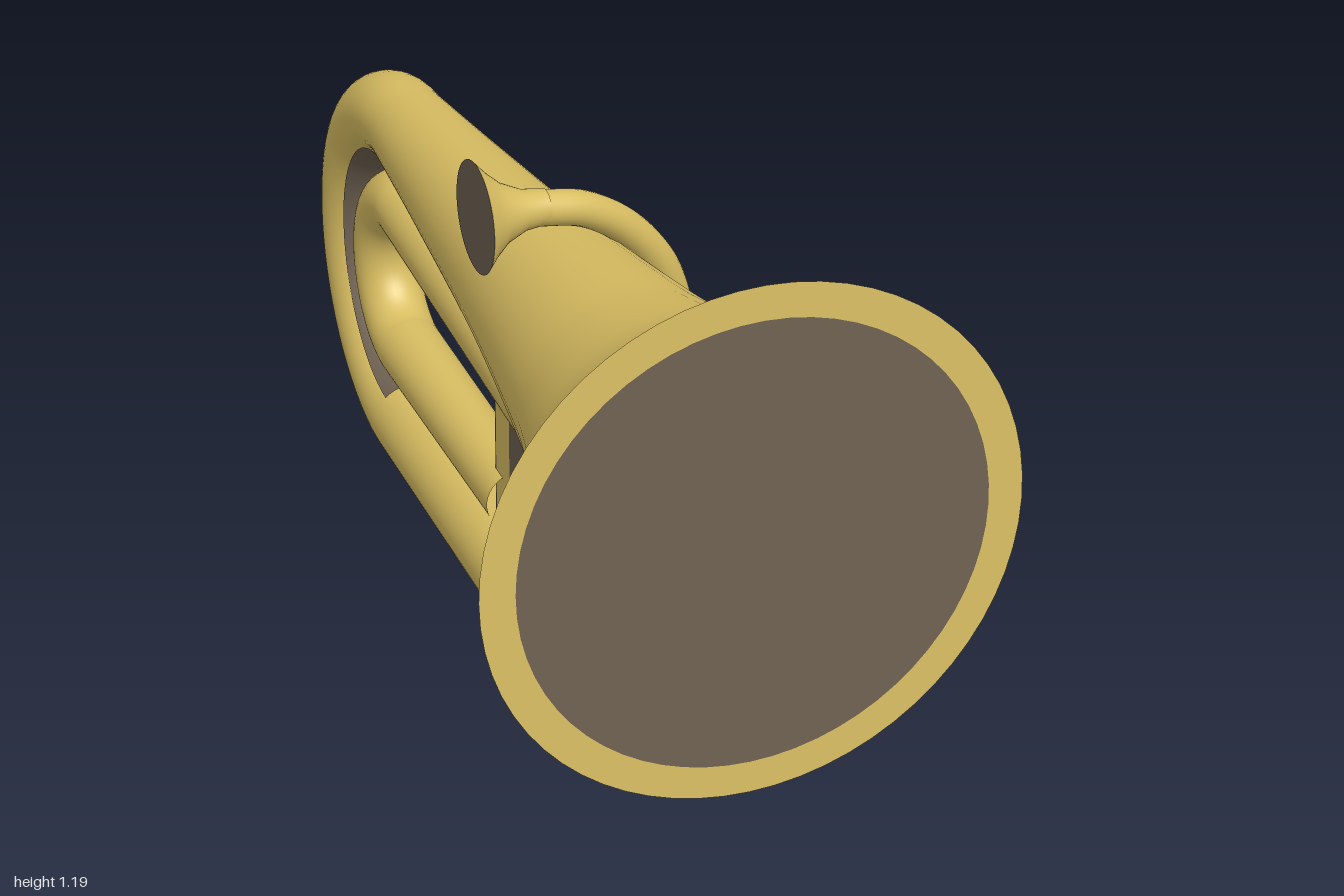
import * as THREE from 'three';

const gold = new THREE.MeshStandardMaterial({ color: 0xd9be62 });
gold.name = 'brass gold';
const dark = new THREE.MeshStandardMaterial({ color: 0x6e6151 });
dark.name = 'dark bronze';

function add(parent, name, geometry, material, x = 0, y = 0, z = 0) {
  const mesh = new THREE.Mesh(geometry, material);
  mesh.name = name;
  mesh.position.set(x, y, z);
  parent.add(mesh);
  return mesh;
}

// Sweep round sections along a flat path of [x, y, radius]; phi = 0 faces the inside of the bends
function sweep(path, phi0 = 0, phi1 = Math.PI * 2, sides = 40) {
  const closed = phi1 - phi0 > 6.28;
  const row = closed ? sides : sides + 1;
  const pos = [], index = [];
  path.forEach(([x, y, r], i) => {
    const a = path[Math.max(i - 1, 0)], b = path[Math.min(i + 1, path.length - 1)];
    const len = Math.hypot(b[0] - a[0], b[1] - a[1]);
    const tx = (b[0] - a[0]) / len, ty = (b[1] - a[1]) / len;
    for (let j = 0; j < row; j++) {
      const p = phi0 + (phi1 - phi0) * j / sides;
      pos.push(x - ty * r * Math.cos(p), y + tx * r * Math.cos(p), r * Math.sin(p));
    }
    if (i === path.length - 1) return;
    for (let j = 0; j < sides; j++) {
      const p = i * row + j, q = i * row + (j + 1) % row;
      index.push(p, q, p + row, q, q + row, p + row);
    }
  });
  const geometry = new THREE.BufferGeometry();
  geometry.setAttribute('position', new THREE.Float32BufferAttribute(pos, 3));
  geometry.setIndex(index);
  geometry.computeVertexNormals();
  return geometry;
}

// Half-turn bend; the radius of the tube runs from r0 to r1
function bend(cx, cy, R, startDeg, r0, r1, steps = 32) {
  return Array.from({ length: steps + 1 }, (_, i) => {
    const t = i / steps, a = THREE.MathUtils.degToRad(startDeg) + Math.PI * t;
    return [cx + R * Math.cos(a), cy + R * Math.sin(a), r0 + (r1 - r0) * t];
  });
}

export function createModel() {
  const root = new THREE.Group();
  root.name = 'brassHorn';
  const horn = new THREE.Group();
  horn.name = 'hornBody';
  horn.rotation.y = -THREE.MathUtils.degToRad(28.5);
  horn.position.z = -0.12;
  root.add(horn);

  // Bell flare, then the tube coiling inwards to the valve block
  const flare = new THREE.SplineCurve([
    [0.9, 0.425], [0.85, 0.375], [0.78, 0.325], [0.7, 0.28], [0.6, 0.237], [0.47, 0.204],
    [0.34, 0.182], [0, 0.14], [-0.4, 0.105], [-0.7, 0.082],
  ].map(([x, r]) => new THREE.Vector2(x, r))).getPoints(60)
    .map(p => [p.x, 0.72 + (p.x + 0.73) * 0.0307, p.y]);
  const outerBend = bend(-0.73, 0.402, 0.318, 90, 0.08, 0.08);
  add(horn, 'bellAndCoiledTube', sweep([
    ...flare,
    ...outerBend,
    ...bend(0.29, 0.32, 0.2, -90, 0.078, 0.07),
    ...bend(-0.735, 0.393, 0.153, 90, 0.064, 0.064),
    [-0.12, 0.255, 0.058],
  ]), gold);

  // Dark inner wall of the large bend
  add(horn, 'bendInnerWall', sweep(outerBend.map(([x, y, r]) => [x, y, r + 0.003]),
    -0.75, 0.75, 10), dark);

  // Bell rim and mouth
  const mouth = new THREE.Group();
  mouth.name = 'bellMouth';
  mouth.position.set(0.9, 0.77, 0);
  mouth.rotation.z = 0.0307;
  horn.add(mouth);
  add(mouth, 'bellRim', new THREE.RingGeometry(0.37, 0.425, 64), gold, 0.001).rotation.y = Math.PI / 2;
  add(mouth, 'bellOpening', new THREE.CircleGeometry(0.37, 64), dark, 0.001).rotation.y = Math.PI / 2;

  // Valve block with three pistons
  const valves = new THREE.Group();
  valves.name = 'valves';
  valves.position.set(0, 0.325, 0);
  valves.rotation.z = 0.035;
  horn.add(valves);
  add(valves, 'valveBlock', new THREE.BoxGeometry(0.115, 0.31, 0.056), dark, -0.0275);
  add(valves, 'valveBlockBack', new THREE.BoxGeometry(0.07, 0.31, 0.056), gold, -0.12);
  add(valves, 'valveEndPlate', new THREE.BoxGeometry(0.005, 0.31, 0.056), dark, -0.157);
  const rod = (name, r, x0, x1, y, material) => {
    const g = new THREE.CylinderGeometry(r, r, x1 - x0, 24).rotateZ(Math.PI / 2);
    add(valves, name, g, material, (x0 + x1) / 2, y);
  };
  for (const y of [-0.085, -0.005, 0.075]) {
    rod('pistonCollar', 0.033, 0.045, 0.065, y, gold);
    rod('pistonBody', 0.024, 0.03, 0.13, y, gold);
    rod('pistonStem', 0.016, 0.13, 0.215, y, dark);
    rod('pistonCap', 0.032, 0.21, 0.23, y, gold);
  }

  // Mouthpiece cup with its dark opening
  const cup = new THREE.LatheGeometry([
    [0.029, 0], [0.034, 0.04], [0.05, 0.075], [0.072, 0.1], [0.094, 0.12],
  ].map(([r, y]) => new THREE.Vector2(r, y)), 40).rotateX(Math.PI / 2);
  add(horn, 'mouthpieceCup', cup, gold, 0.129, 0.965, 0.043);
  add(horn, 'mouthpieceOpening', new THREE.CircleGeometry(0.094, 40), dark, 0.129, 0.965, 0.163);

  // Lead pipe looping behind the bell tube down to the valves
  const lead = new THREE.CatmullRomCurve3([
    [0.085, 0.965, -0.005], [0.117, 0.945, -0.085], [0.142, 0.88, -0.175], [0.158, 0.78, -0.248],
    [0.155, 0.66, -0.283], [0.115, 0.555, -0.268], [0.05, 0.49, -0.225], [-0.03, 0.45, -0.17],
  ].map(p => new THREE.Vector3(...p)));
  add(root, 'leadPipe', new THREE.TubeGeometry(lead, 60, 0.03, 20), gold);

  return root;
}
